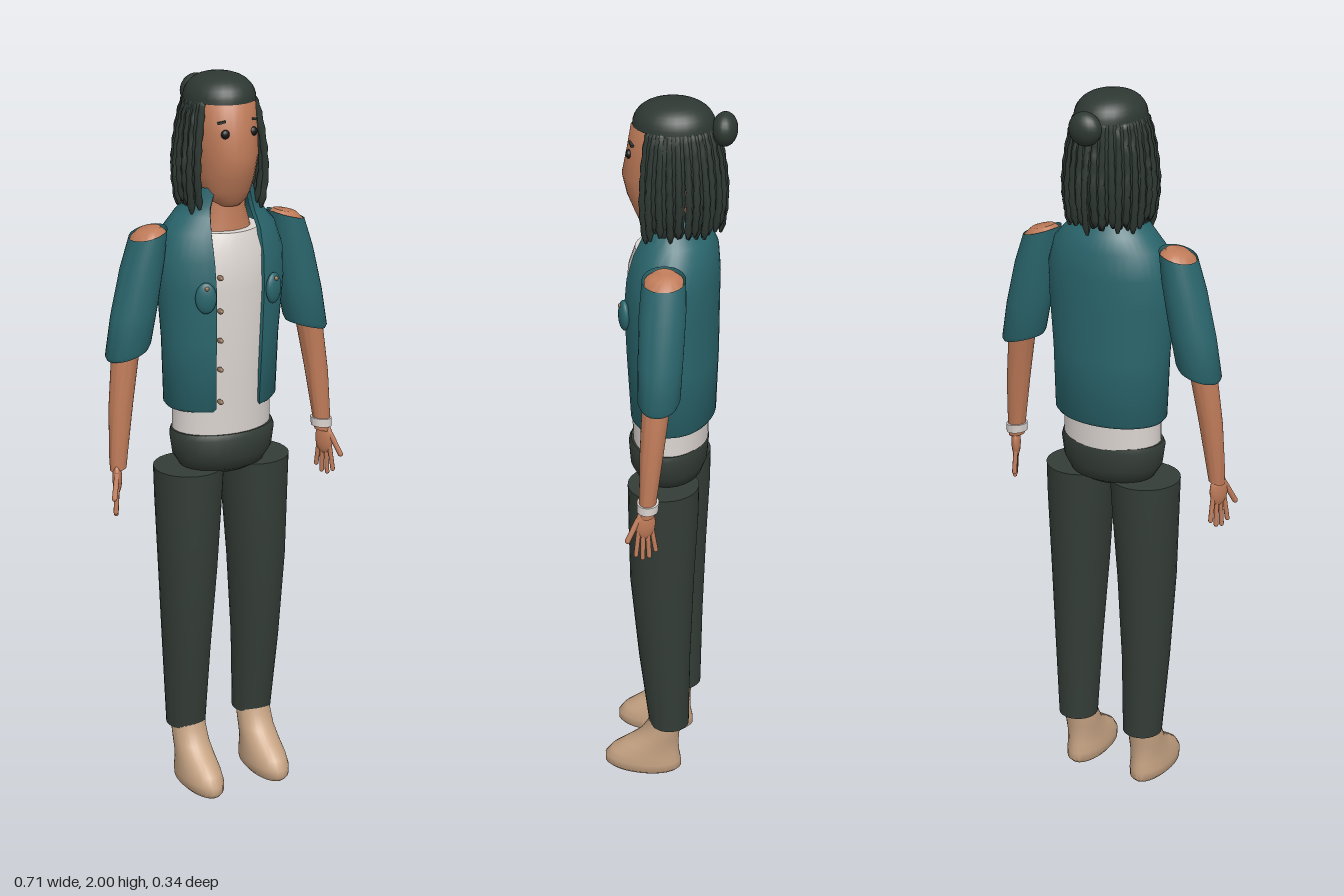
import * as THREE from 'three';
import { toCreasedNormals } from 'three/addons/utils/BufferGeometryUtils.js';

const mat = (name, color, side = THREE.FrontSide) =>
  Object.assign(new THREE.MeshStandardMaterial({ color, side }), { name });

// Skin a stack of closed outlines, listed bottom to top
function loft(rows, caps = true, crease = 0.8) {
  const pos = [];
  const tri = (...pts) => pts.forEach(p => pos.push(p.x, p.y, p.z));
  const n = rows[0].length;
  for (let i = 0; i < rows.length - 1; i++) {
    for (let j = 0; j < n; j++) {
      const k = (j + 1) % n, lo = rows[i], hi = rows[i + 1];
      tri(lo[j], lo[k], hi[k]);
      tri(lo[j], hi[k], hi[j]);
    }
  }
  if (caps) {
    const mid = row => row.reduce((s, p) => s.add(p), new THREE.Vector3()).divideScalar(n);
    const bottom = rows[0], top = rows[rows.length - 1];
    const cb = mid(bottom), ct = mid(top);
    for (let j = 0; j < n; j++) {
      const k = (j + 1) % n;
      tri(cb, bottom[k], bottom[j]);
      tri(ct, top[j], top[k]);
    }
  }
  const geo = new THREE.BufferGeometry();
  geo.setAttribute('position', new THREE.Float32BufferAttribute(pos, 3));
  return toCreasedNormals(geo, crease);
}

// Elliptical outline; slope tilts it sideways
function ring(y, cx, cz, rx, rz, n = 28, slope = 0) {
  return Array.from({ length: n }, (_, j) => {
    const a = j / n * Math.PI * 2, dx = rx * Math.sin(a);
    return new THREE.Vector3(cx + dx, y + slope * dx, cz + rz * Math.cos(a));
  });
}

export function createModel() {
  const model = new THREE.Group();
  const skin = mat('skin', 0xbf7b59);
  const teal = mat('teal cloth', 0x2a666d, THREE.DoubleSide);
  const white = mat('shirt white', 0xdcd5d1);
  const dark = mat('trouser dark', 0x343d37);
  const hair = mat('hair dark', 0x2e3833);
  const shoe = mat('shoe tan', 0xc6a383);
  const black = mat('eye black', 0x161616);
  const brown = mat('button brown', 0x8d6e55);

  const add = (name, geo, material, parent = model) => {
    const mesh = new THREE.Mesh(geo, material);
    mesh.name = name;
    parent.add(mesh);
    return mesh;
  };
  // Rows are [y, cx, cz, rx, rz]; s mirrors left and right
  const body = (name, rows, material, { s = 1, slope = 0, caps = true, n = 28, crease } = {}) =>
    add(name, loft(rows.map(([y, cx, cz, rx, rz]) => ring(y, cx * s, cz, rx, rz, n, slope * s)), caps, crease), material);
  const ball = (name, x, y, z, rx, ry, rz, material) => {
    const m = add(name, new THREE.SphereGeometry(1, 20, 14), material);
    m.position.set(x, y, z);
    m.scale.set(rx, ry, rz);
    return m;
  };

  // Torso
  body('hips', [[0.93, 0, 0, 0.085, 0.065], [0.945, 0, 0, 0.12, 0.088], [0.98, 0, 0.002, 0.142, 0.103],
    [1.035, 0, 0.002, 0.15, 0.107], [1.05, 0, 0, 0.145, 0.102]], dark);
  body('shirt', [[1.04, 0, -0.003, 0.14, 0.1], [1.2, 0, -0.003, 0.137, 0.104], [1.45, 0, -0.004, 0.15, 0.117],
    [1.55, 0, -0.005, 0.135, 0.112], [1.6, 0, -0.005, 0.1, 0.095]], white);

  // Open jacket with a standing collar: [y, rx, rz, cz, half gap, thickness]
  const jacketRows = [
    [1.115, 0.152, 0.106, -0.01, 0.07, 0], [1.125, 0.16, 0.113, -0.01, 0.065, 0.012],
    [1.3, 0.165, 0.121, -0.008, 0.068, 0.012], [1.45, 0.178, 0.124, -0.006, 0.07, 0.012],
    [1.53, 0.178, 0.121, -0.01, 0.072, 0.012], [1.6, 0.157, 0.11, -0.016, 0.072, 0.012],
    [1.64, 0.122, 0.094, -0.016, 0.066, 0.012], [1.665, 0.1, 0.083, -0.01, 0.062, 0.012],
    [1.695, 0.09, 0.078, -0.004, 0.054, 0.01], [1.715, 0.083, 0.072, 0, 0.045, 0],
  ];
  const jacket = jacketRows.map(([y, rx, rz, cz, gap, t]) => {
    const start = Math.asin(gap / rx), n = 36;
    const arc = d => Array.from({ length: n + 1 }, (_, j) => {
      const a = start + (2 * Math.PI - 2 * start) * j / n;
      return new THREE.Vector3((rx - d) * Math.sin(a), y, cz + (rz - d) * Math.cos(a));
    });
    return [...arc(0), ...arc(t).reverse()];
  });
  add('jacket', loft(jacket, false), teal);
  [1.49, 1.4, 1.32, 1.24, 1.15].forEach(y => ball('jacketButton', -0.06, y, 0.107, 0.007, 0.007, 0.012, brown));

  // Neck and head
  body('neck', [[1.57, 0, 0, 0.085, 0.07], [1.61, 0, 0, 0.075, 0.067], [1.65, 0, 0, 0.064, 0.06],
    [1.73, 0, 0, 0.06, 0.058]], skin);
  body('head', [[1.665, 0, 0.04, 0.03, 0.03], [1.68, 0, 0.035, 0.05, 0.047], [1.705, 0, 0.023, 0.065, 0.07],
    [1.745, 0, 0.018, 0.074, 0.092], [1.8, 0, 0.018, 0.081, 0.105], [1.86, 0, 0.01, 0.085, 0.101],
    [1.93, 0, 0, 0.085, 0.099], [1.97, 0, -0.01, 0.065, 0.075]], skin, { crease: 1.3 });
  for (const s of [1, -1]) {
    ball('eye', 0.04 * s, 1.863, 0.097, 0.012, 0.012, 0.009, black);
    const brow = add('eyebrow', new THREE.BoxGeometry(0.022, 0.006, 0.008), hair);
    brow.position.set(0.047 * s, 1.893, 0.09);
    brow.rotation.set(0, 0.45 * s, -0.25 * s);
  }

  // Hair cap, back of the hair and bun
  const capRows = [];
  for (let i = 0; i <= 9; i++) {
    const a = i / 9 * Math.PI / 2, r = Math.max(0.02, Math.cos(a) ** 0.75);
    capRows.push([1.935 + 0.065 * Math.sin(a), 0, -0.011, 0.092 * r, 0.106 * r]);
  }
  body('hairCap', capRows, hair);
  ball('hairBack', 0, 1.86, -0.032, 0.089, 0.11, 0.085, hair);
  ball('bun', 0, 1.93, -0.14, 0.045, 0.044, 0.033, hair);

  // Twisted locks hanging in two staggered layers
  let seed = 7;
  const rand = () => (seed = (seed * 16807) % 2147483647) / 2147483647;
  const flare = new THREE.CatmullRomCurve3([[0.86, 0], [1.06, 0.12], [1.25, 0.4], [1.33, 0.7], [1.22, 1]]
    .map(([f, t]) => new THREE.Vector3(f, t, 0)));
  for (const layer of [0, 1]) {
    const count = 23 - layer;
    for (let i = 0; i < count; i++) {
      const a = THREE.MathUtils.degToRad(60 + 240 * (i + layer * 0.5) / 22);
      const end = 1.645 + 0.03 * rand(), sway = (rand() - 0.5) * 0.12, rows = [];
      for (let k = 16; k >= 0; k--) {
        const p = flare.getPoint(k / 16);
        const f = p.x - layer * 0.14 * p.y, ang = a + sway * p.y;
        const r = (k % 2 ? 0.0105 : 0.008) * (k === 16 ? 0.5 : 1);
        rows.push([1.955 + (end - 1.955) * p.y, 0.086 * f * Math.sin(ang), -0.01 + 0.1 * f * Math.cos(ang), r, r]);
      }
      body('hairLock', rows, hair, { n: 6, crease: 1.2 });
    }
  }

  for (const s of [1, -1]) {
    const side = s > 0 ? 'left' : 'right';
    // Chest pocket and its button
    const pocket = ball(side + 'Pocket', 0.1 * s, 1.44, 0.103, 0.028, 0.042, 0.014, teal);
    pocket.rotation.y = 0.43 * s;
    ball(side + 'PocketButton', 0.102 * s, 1.468, 0.113, 0.006, 0.006, 0.005, brown);

    // Sleeve, open at both ends, with the arm inside
    body(side + 'Sleeve', [[1.283, 0.268, -0.018, 0.056, 0.05], [1.295, 0.267, -0.018, 0.062, 0.055],
      [1.4, 0.247, -0.019, 0.064, 0.058], [1.52, 0.222, -0.02, 0.059, 0.06], [1.6, 0.204, -0.02, 0.049, 0.056]],
    teal, { s, slope: -0.28, caps: false });
    body(side + 'Arm', [[0.975, 0.313, 0.007, 0.022, 0.021], [1.02, 0.31, 0.004, 0.026, 0.023],
      [1.15, 0.297, -0.004, 0.033, 0.031], [1.27, 0.28, -0.012, 0.037, 0.036], [1.4, 0.247, -0.018, 0.045, 0.045],
      [1.55, 0.213, -0.02, 0.047, 0.05], [1.595, 0.204, -0.02, 0.046, 0.05], [1.61, 0.202, -0.02, 0.03, 0.032]],
    skin, { s, slope: -0.2 });

    // Hand with spread fingers
    const hand = new THREE.Group();
    hand.name = side + 'Hand';
    hand.position.set(0.318 * s, 0.95, 0.01);
    hand.rotation.y = -0.48 * -s;
    model.add(hand);
    const palm = add('palm', new THREE.SphereGeometry(1, 16, 12), skin, hand);
    palm.scale.set(0.013, 0.045, 0.028);
    const finger = (name, from, to, r) => {
      const a = new THREE.Vector3(...from), b = new THREE.Vector3(...to), d = b.clone().sub(a);
      const m = add(name, new THREE.CapsuleGeometry(r, d.length(), 4, 8), skin, hand);
      m.position.copy(a).add(b).multiplyScalar(0.5);
      m.quaternion.setFromUnitVectors(new THREE.Vector3(0, 1, 0), d.normalize());
    };
    [-1.5, -0.5, 0.5, 1.5].forEach((k, i) =>
      finger('finger', [0, -0.02, k * 0.012], [0.004 * s, [-0.082, -0.098, -0.1, -0.088][i], k * 0.018], 0.0065));
    finger('thumb', [0, 0.015, 0.02], [0.006 * s, -0.04, 0.05], 0.0075);

    // Trouser leg and shoe
    body(side + 'Leg', [[0.165, 0.105, -0.016, 0.055, 0.056], [0.4, 0.108, -0.004, 0.066, 0.072],
      [0.65, 0.106, 0.003, 0.08, 0.088], [0.85, 0.102, 0, 0.091, 0.095], [0.945, 0.1, 0, 0.096, 0.096]], dark, { s });
    body(side + 'Shoe', [[0, 0.103, 0.06, 0.044, 0.098], [0.012, 0.104, 0.06, 0.054, 0.11],
      [0.035, 0.104, 0.06, 0.055, 0.11], [0.06, 0.104, 0.053, 0.053, 0.098], [0.09, 0.104, 0.033, 0.05, 0.076],
      [0.12, 0.104, 0.013, 0.049, 0.057], [0.16, 0.104, -0.002, 0.049, 0.047], [0.2, 0.105, -0.008, 0.047, 0.045]],
    shoe, { s });
  }

  // Bracelet on the left wrist
  body('bracelet', [[0.988, 0.311, 0.005, 0.029, 0.028], [1.012, 0.31, 0.004, 0.03, 0.029]], white, { slope: -0.1 });
  return model;
}
